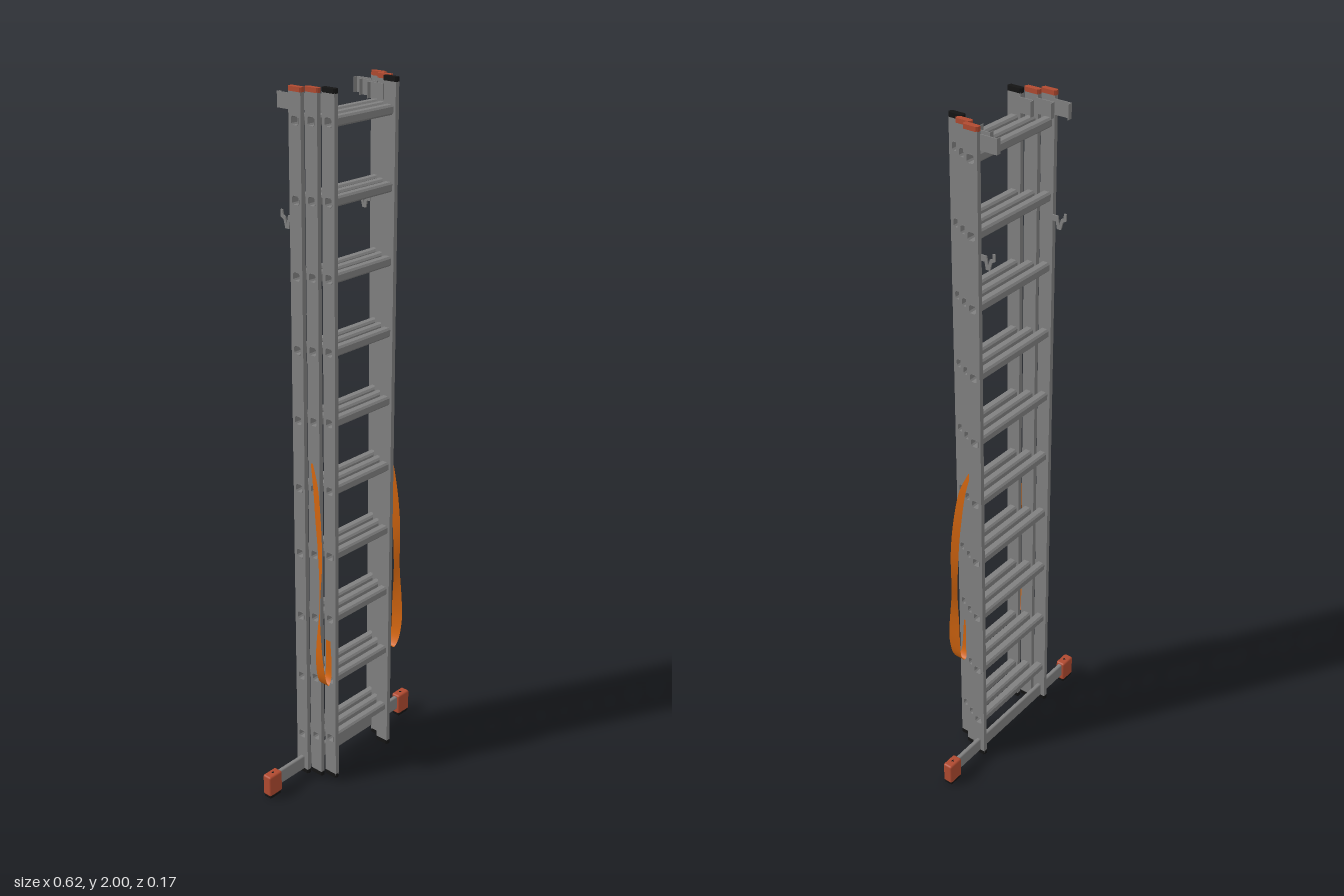
import * as THREE from 'three';
import { RoundedBoxGeometry } from 'three/addons/geometries/RoundedBoxGeometry.js';

const mat = (name, color, side = THREE.FrontSide) => {
  const m = new THREE.MeshStandardMaterial({ color, side });
  m.name = name;
  return m;
};

export function createModel() {
  const model = new THREE.Group();
  model.name = 'tripleLadder';
  const metal = mat('aluminium grey', 0x808080);
  const red = mat('brick red plastic', 0xb04a30);
  const black = mat('black rubber', 0x141414);
  const orange = mat('orange webbing', 0xd0640f, THREE.DoubleSide);

  const add = (parent, name, geo, material, x = 0, y = 0, z = 0) => {
    const mesh = new THREE.Mesh(geo, material);
    mesh.name = name;
    mesh.position.set(x, y, z);
    parent.add(mesh);
    return mesh;
  };
  const box = (w, h, d) => new THREE.BoxGeometry(w, h, d);

  // Square outline with cut corners
  const outline = (path, w, h, c, cy = 0) => {
    const a = w / 2, b = h / 2;
    const pts = [[-a + c, -b], [a - c, -b], [a, -b + c], [a, b - c],
      [a - c, b], [-a + c, b], [-a, b - c], [-a, -b + c]];
    path.setFromPoints(pts.map(([x, y]) => new THREE.Vector2(x, y + cy)));
    return path;
  };
  // Extrude a (-z, y) profile along x, centred on x = 0
  const extrudeX = (shape, length) =>
    new THREE.ExtrudeGeometry(shape, { depth: length, bevelEnabled: false })
      .translate(0, 0, -length / 2).rotateY(Math.PI / 2);

  const rungY = Array.from({ length: 10 }, (_, i) => 0.145 + i * 0.197);

  // Stile with a socket for each rung
  const stileShape = new THREE.Shape([[-0.0205, 0.022], [0.0205, 0.022], [0.0205, 1.99], [-0.0205, 1.99]]
    .map(([x, y]) => new THREE.Vector2(x, y)));
  for (const y of rungY) stileShape.holes.push(outline(new THREE.Path(), 0.0255, 0.0255, 0.005, y));
  const stileGeo = extrudeX(stileShape, 0.013);

  // Octagonal end cap
  const capShape = outline(new THREE.Shape(), 0.016, 0.045, 0.004);
  const capGeo = new THREE.ExtrudeGeometry(capShape, { depth: 0.012, bevelEnabled: false })
    .rotateX(-Math.PI / 2);

  // Hollow rung
  const rungGeo = (length) => {
    const s = outline(new THREE.Shape(), 0.026, 0.026, 0.005);
    s.holes.push(outline(new THREE.Path(), 0.022, 0.022, 0.004));
    return extrudeX(s, length);
  };

  // Three nested ladder sections, each with guide brackets behind the stiles
  const sections = [
    { name: 'backSection', x: 0.153, z: -0.015, cap: red, guideX: 0.147, guideEnd: -0.084 },
    { name: 'middleSection', x: 0.134, z: 0.022, cap: red, guideX: 0.126, guideEnd: -0.047 },
    { name: 'frontSection', x: 0.114, z: 0.06, cap: black, guideX: 0.105, guideEnd: -0.001 },
  ];
  for (const s of sections) {
    const g = new THREE.Group();
    g.name = s.name;
    model.add(g);
    const rung = rungGeo(s.x * 2 + 0.014);
    for (const y of rungY) add(g, 'rung', rung, metal, 0, y, s.z);
    for (const side of [-1, 1]) {
      add(g, 'stile', stileGeo, metal, side * s.x, 0, s.z);
      add(g, 'topCap', capGeo, s.cap, side * s.x, 1.988, s.z);
      add(g, 'bottomCap', capGeo, black, side * s.x, 0.015, s.z);
      const start = s.z - 0.018, len = start - s.guideEnd;
      add(g, 'guideArm', box(0.003, 0.04, len), metal, side * s.guideX, 1.96, start - len / 2);
      add(g, 'guideLip', box(0.014, 0.04, 0.002), metal, side * (s.guideX - 0.006), 1.96, s.guideEnd);
    }
  }

  // Catch hooks on the back section
  const hookShape = new THREE.Shape([[0.033, 1.66], [0.046, 1.66], [0.05, 1.64], [0.062, 1.64],
    [0.068, 1.662], [0.078, 1.668], [0.078, 1.687], [0.071, 1.687], [0.07, 1.674], [0.062, 1.67],
    [0.057, 1.652], [0.052, 1.676], [0.033, 1.676]].map(([x, y]) => new THREE.Vector2(x, y)));
  const hookGeo = extrudeX(hookShape, 0.004);
  for (const side of [-1, 1]) add(model, 'catchHook', hookGeo, metal, side * 0.147, 0, 0);

  // Stabiliser bar with feet and screws
  const bar = new THREE.Group();
  bar.name = 'stabiliser';
  model.add(bar);
  add(bar, 'crossbar', new RoundedBoxGeometry(0.56, 0.045, 0.014, 3, 0.005), metal, 0, 0.047, -0.015);
  for (const side of [-1, 1]) {
    add(bar, 'foot', new RoundedBoxGeometry(0.05, 0.066, 0.03, 3, 0.006), red, side * 0.285, 0.042, -0.015);
    add(bar, 'footPad', new RoundedBoxGeometry(0.046, 0.016, 0.027, 2, 0.005), black, side * 0.285, 0.008, -0.015);
    add(bar, 'screwSlot', box(0.008, 0.001, 0.002), black, side * 0.284, 0.0753, -0.015);
    add(bar, 'screwSlot', box(0.002, 0.001, 0.008), black, side * 0.284, 0.0753, -0.015);
  }

  // Hanging strap: x, y, z, then half width along x and z
  const strap = [
    [0.143, 1.01, 0.017, 0, 0.004], [0.15, 0.95, 0.036, 0.001, 0.01], [0.156, 0.86, 0.05, 0.002, 0.012],
    [0.160, 0.74, 0.061, 0.004, 0.011], [0.164, 0.6, 0.062, 0.006, 0.006], [0.168, 0.48, 0.062, 0.005, 0.014],
    [0.167, 0.42, 0.063, 0.003, 0.017], [0.157, 0.36, 0.063, 0, 0.016], [0.142, 0.338, 0.061, 0, 0.014],
    [0.128, 0.355, 0.059, 0, 0.012], [0.1235, 0.4, 0.057, 0, 0.011], [0.123, 0.47, 0.055, 0, 0.008],
  ];
  const path = new THREE.CatmullRomCurve3(strap.map((p) => new THREE.Vector3(p[0], p[1], p[2])));
  const widths = new THREE.CatmullRomCurve3(strap.map((p) => new THREE.Vector3(p[3], 0, p[4])));
  for (const side of [-1, 1]) {
    const geo = new THREE.PlaneGeometry(1, 1, 1, 60);
    const pos = geo.attributes.position;
    for (let i = 0; i < pos.count; i++) {
      const t = 0.5 - pos.getY(i);
      const p = path.getPoint(t).addScaledVector(widths.getPoint(t), Math.sign(pos.getX(i)));
      pos.setXYZ(i, side * p.x, p.y, p.z);
    }
    geo.computeVertexNormals();
    add(model, 'strap', geo, orange);
  }
  return model;
}
